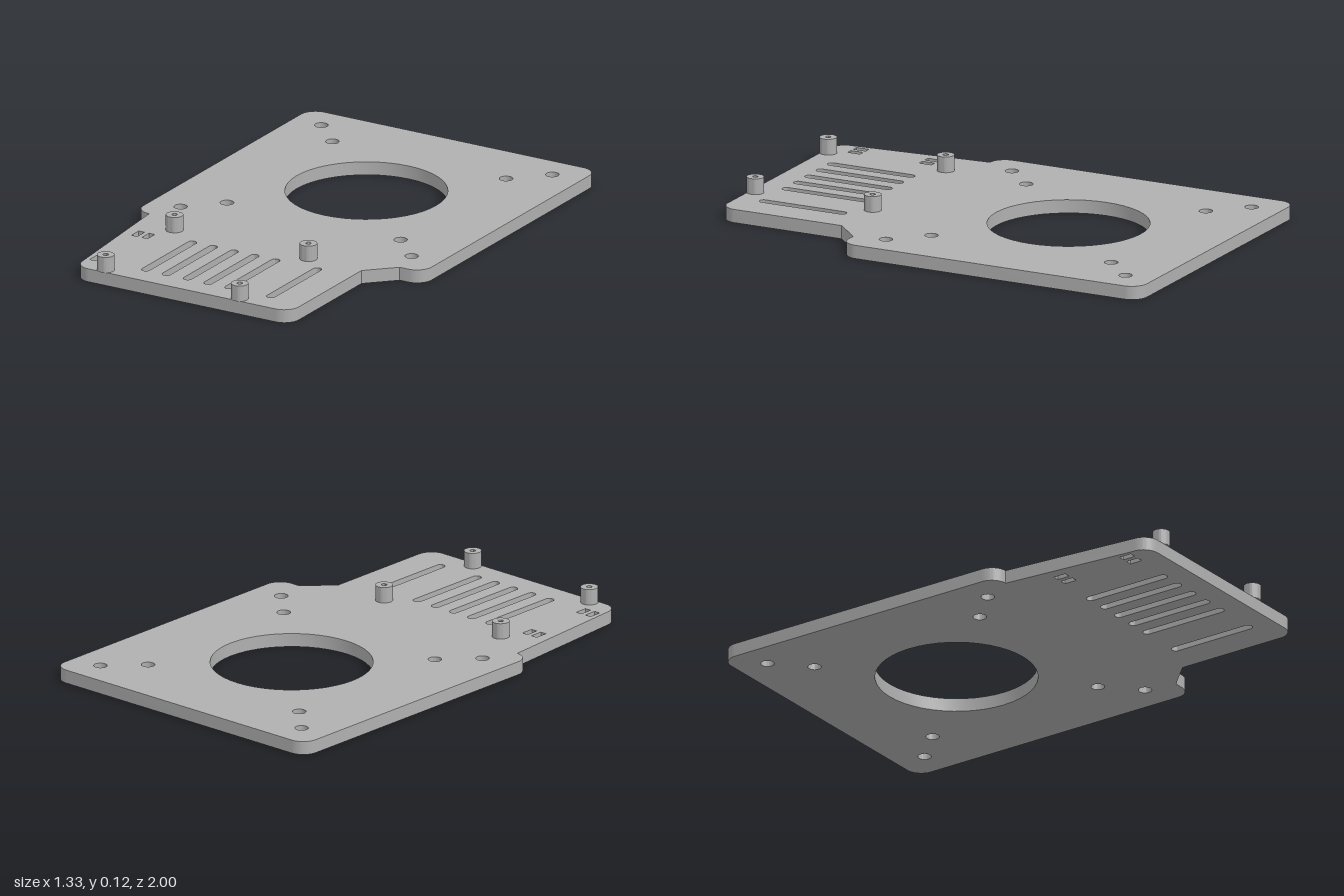
import * as THREE from 'three';
import { toCreasedNormals } from 'three/addons/utils/BufferGeometryUtils.js';

const THICK = 0.055, POST_TOP = 0.12;

// Circular outline or hole; shapes are drawn in (x, -z)
function circle(PathType, x, z, r) {
  const p = new PathType();
  p.absarc(x, -z, r, 0, Math.PI * 2, false);
  return p;
}

// Slot hole along z, with round or square ends
function slot(x, z0, z1, w, round) {
  const p = new THREE.Path(), r = w / 2;
  if (round) {
    p.absarc(x, -z0 - r, r, 0, Math.PI, false);
    p.absarc(x, -z1 + r, r, Math.PI, Math.PI * 2, false);
  } else {
    p.moveTo(x - r, -z0).lineTo(x - r, -z1).lineTo(x + r, -z1).lineTo(x + r, -z0);
  }
  p.closePath();
  return p;
}

// Extrude upwards from y = 0, with smooth curves and sharp edges
function extrudeUp(shape, depth, curveSegments) {
  const g = new THREE.ExtrudeGeometry(shape, { depth, bevelEnabled: false, curveSegments });
  g.rotateX(-Math.PI / 2);
  return toCreasedNormals(g, 0.6);
}

// Wide square plate with a narrower, off-centre tab at the front
function plateOutline() {
  const s = new THREE.Shape(), r = 0.067, H = Math.PI / 2;
  const W = 0.667, L = -0.55, R = 0.45, end = -0.99, neck = -0.335;
  s.moveTo(L, -0.385);
  s.absarc(L + r, end + r, r, Math.PI, 3 * H, false);
  s.absarc(R - r, end + r, r, 3 * H, 4 * H, false);
  s.lineTo(R, -0.445);
  s.lineTo(0.56, neck);
  s.absarc(W - r, neck + r, r, 3 * H, 4 * H, false);
  s.absarc(W - r, 1 - r, r, 0, H, false);
  s.absarc(r - W, 1 - r, r, H, 2 * H, false);
  s.absarc(r - W, neck + r, r, 2 * H, 3 * H, false);
  s.closePath();
  return s;
}

export function createModel() {
  const group = new THREE.Group();
  const grey = new THREE.MeshStandardMaterial({ color: 0xb0b0b0 });
  grey.name = 'grey';

  const add = (name, geometry, x = 0, y = 0, z = 0) => {
    const mesh = new THREE.Mesh(geometry, grey);
    mesh.name = name;
    mesh.position.set(x, y, z);
    group.add(mesh);
  };

  // Plate with its large opening, screw holes and slots
  const outline = plateOutline();
  outline.holes.push(circle(THREE.Path, 0, -0.333, 0.323));
  for (const side of [-1, 1]) {
    for (const [x, z] of [[0.535, -0.87], [0.402, -0.736], [0.402, 0.068], [0.535, 0.202]]) {
      outline.holes.push(circle(THREE.Path, side * x, z, 0.027));
    }
  }
  for (const x of [-0.286, -0.19, -0.093, 0.003, 0.1, 0.293]) {
    outline.holes.push(slot(x, 0.507, 0.894, 0.036, true));
  }
  for (const x of [-0.521, -0.473]) {
    for (const z of [0.523, 0.842]) outline.holes.push(slot(x, z, z + 0.055, 0.027, false));
  }
  add('plate', extrudeUp(outline, THICK, 24));

  // Four hollow standoffs
  const ring = circle(THREE.Shape, 0, 0, 0.035);
  ring.holes.push(circle(THREE.Path, 0, 0, 0.011));
  const post = extrudeUp(ring, POST_TOP - THICK, 24);
  for (const x of [-0.42, 0.2]) {
    for (const z of [0.438, 0.963]) add('standoff', post, x, THICK, z);
  }
  return group;
}
